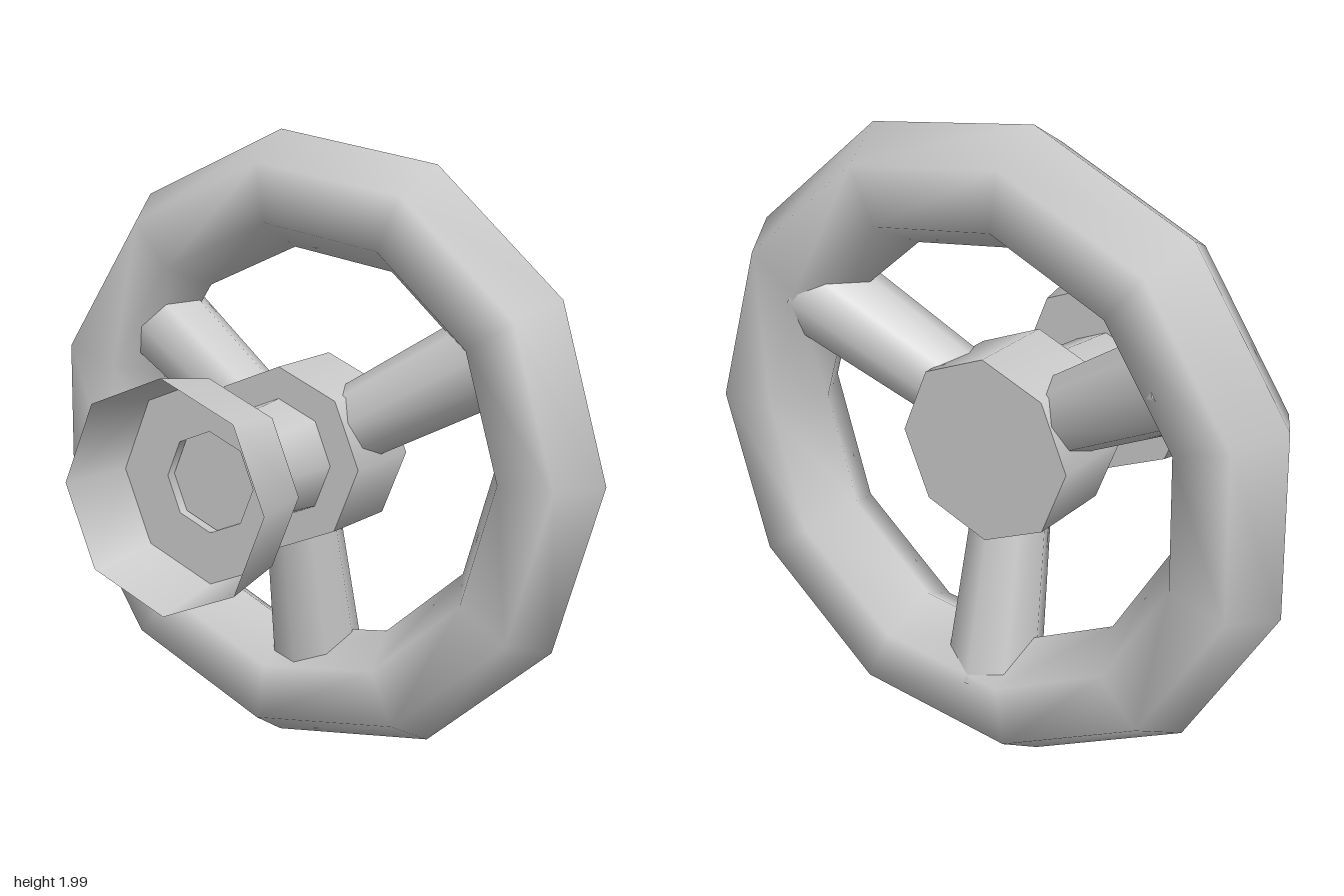
import * as THREE from 'three';

export function createModel() {
  const model = new THREE.Group();
  const wheel = new THREE.Group();
  wheel.name = 'handWheel';
  wheel.position.set(-0.02, 1, 0);
  model.add(wheel);

  const material = new THREE.MeshStandardMaterial({ color: 0xcccccc });
  const thin = new THREE.MeshStandardMaterial({ color: 0xcccccc, side: THREE.DoubleSide });

  function add(name, geometry, mat = material) {
    const mesh = new THREE.Mesh(geometry, mat);
    mesh.name = name;
    wheel.add(mesh);
    return mesh;
  }

  // Octagonal cone section lying along z
  function zSection(rFront, rBack, zFront, zBack, open) {
    return new THREE.CylinderGeometry(rFront, rBack, zFront - zBack, 8, 1, open)
      .rotateX(Math.PI / 2)
      .translate(0, 0, (zFront + zBack) / 2);
  }

  // Rim: eleven segments with a hexagonal section
  add('rim', new THREE.TorusGeometry(0.82, 0.185, 6, 11)).position.z = -0.34;

  // Hub and stem
  add('hub', zSection(0.29, 0.29, -0.11, -0.4, false));
  add('stem', zSection(0.155, 0.19, 0.26, -0.11, true), thin);
  add('stemEnd', new THREE.CircleGeometry(0.156, 8).translate(0, 0, 0.225), thin);

  // Hollow cup, open to the front
  add('cupWall', zSection(0.355, 0.315, 0.5, 0.26, true), thin);
  add('cupFloor', new THREE.RingGeometry(0.155, 0.315, 8).translate(0, 0, 0.26), thin);

  // Three spokes that widen and lean back toward the rim
  const inner = new THREE.Vector3(0, 0.15, -0.24);
  const outer = new THREE.Vector3(0, 0.76, -0.36);
  const axis = outer.clone().sub(inner);
  for (let i = 0; i < 3; i++) {
    const geometry = new THREE.CylinderGeometry(0.149, 0.117, axis.length(), 8)
      .rotateX(Math.atan2(axis.z, axis.y))
      .translate(0, (inner.y + outer.y) / 2, (inner.z + outer.z) / 2)
      .rotateZ(Math.PI + (i * Math.PI * 2) / 3);
    add('spoke' + (i + 1), geometry);
  }

  return model;
}
